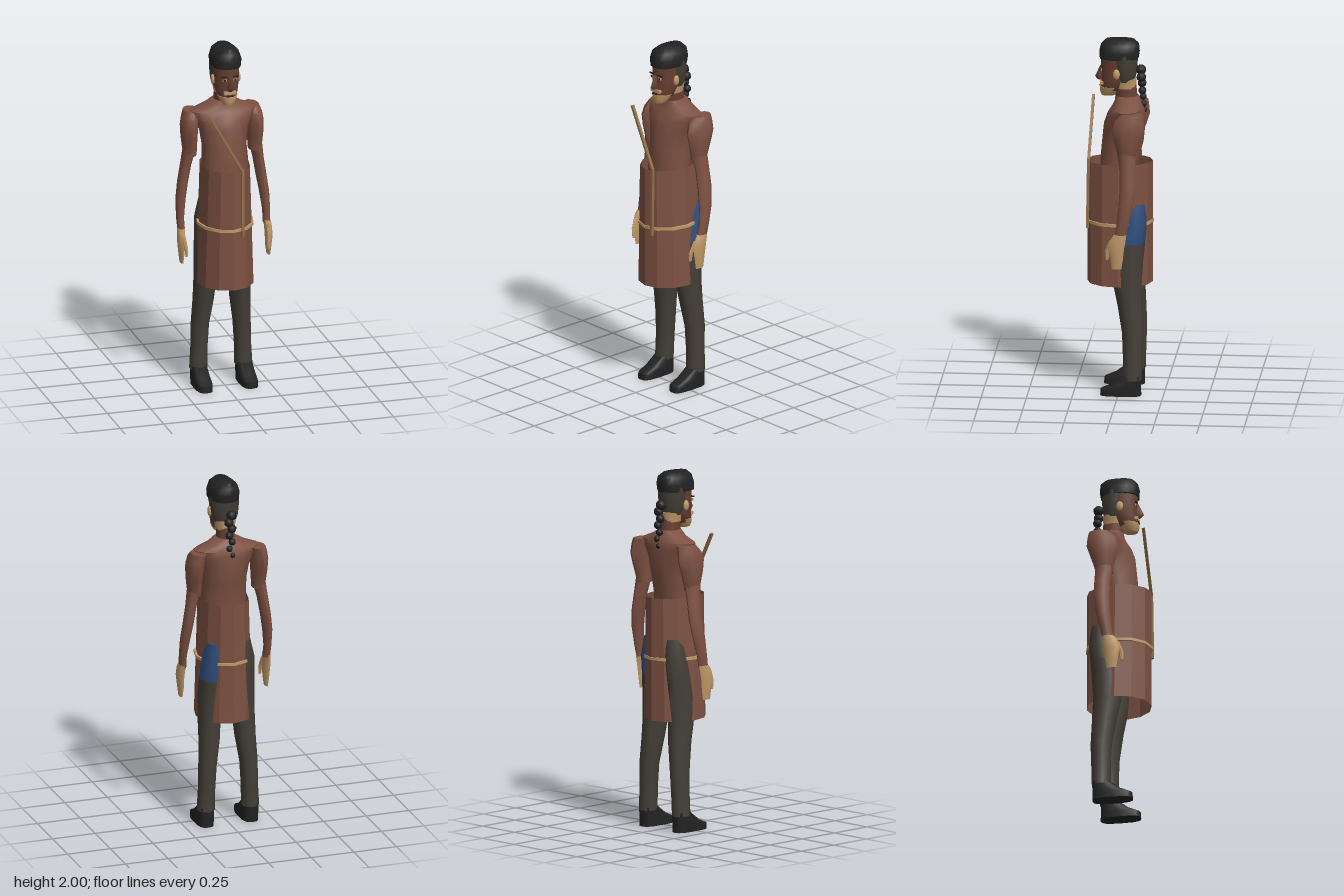
import * as THREE from 'three';
import { toCreasedNormals } from 'three/addons/utils/BufferGeometryUtils.js';

const mat = (name, color, side = THREE.FrontSide) => {
  const m = new THREE.MeshStandardMaterial({ color, side });
  m.name = name;
  return m;
};

// Cross-sections [y, centre x, centre z, radius x, radius z], listed from bottom to top.
function loft(rings, { sides = 14, power = 1, capped = true, crease = 0.8 } = {}) {
  const pos = [], idx = [];
  const bend = v => Math.sign(v) * Math.abs(v) ** power;
  for (const [y, cx, cz, rx, rz] of rings)
    for (let k = 0; k < sides; k++) {
      const a = (k / sides) * Math.PI * 2;
      pos.push(cx + rx * bend(Math.sin(a)), y, cz + rz * bend(Math.cos(a)));
    }
  for (let i = 0; i < rings.length - 1; i++)
    for (let k = 0; k < sides; k++) {
      const a = i * sides + k, b = i * sides + (k + 1) % sides;
      idx.push(a, b, b + sides, a, b + sides, a + sides);
    }
  if (capped) {
    const first = rings[0], last = rings[rings.length - 1];
    const bottom = pos.length / 3, top = bottom + 1, base = (rings.length - 1) * sides;
    pos.push(first[1], first[0], first[2], last[1], last[0], last[2]);
    for (let k = 0; k < sides; k++) {
      const n = (k + 1) % sides;
      idx.push(bottom, n, k, top, base + k, base + n);
    }
  }
  const g = new THREE.BufferGeometry();
  g.setAttribute('position', new THREE.Float32BufferAttribute(pos, 3));
  g.setIndex(idx);
  return toCreasedNormals(g, crease);
}

export function createModel() {
  const model = new THREE.Group();
  model.name = 'robedMan';
  const tunic = mat('tunicBrown', 0x7d5142, THREE.DoubleSide);
  const face = mat('faceBrown', 0x673f32);
  const tan = mat('tan', 0xc19a68);
  const leather = mat('strapLeather', 0x8f7049);
  const cloth = mat('trouserCharcoal', 0x443f37);
  const black = mat('black', 0x222222);
  const blue = mat('hipBlue', 0x2d4c7c);

  const add = (name, geometry, material, x = 0, y = 0, z = 0) => {
    const m = new THREE.Mesh(geometry, material);
    m.name = name;
    m.position.set(x, y, z);
    model.add(m);
    return m;
  };
  const box = (w, h, d) => new THREE.BoxGeometry(w, h, d);

  // Open robe skirt and belt
  add('robeSkirt', loft([[0.62, 0, 0, 0.16, 0.182], [1.31, 0, 0, 0.136, 0.182]],
    { sides: 12, capped: false, crease: 0.1 }), tunic);
  add('belt', loft([[0.962, 0, 0, 0.16, 0.188], [0.978, 0, 0, 0.16, 0.188]], { sides: 12 }), tan);

  // Torso with sloping shoulders and collar
  add('torso', loft([
    [1.15, 0, 0, 0.125, 0.1], [1.31, 0, 0.005, 0.131, 0.105], [1.42, 0, -0.015, 0.125, 0.115],
    [1.52, 0, -0.025, 0.14, 0.115], [1.58, 0, -0.035, 0.172, 0.105], [1.62, 0, -0.045, 0.19, 0.09],
    [1.65, 0, -0.045, 0.11, 0.075], [1.68, 0, -0.04, 0.06, 0.066],
  ]), tunic);

  // Chest strap: slanted upper part and hanging lower part
  const rod = (name, a, b) => {
    const from = new THREE.Vector3(...a), to = new THREE.Vector3(...b);
    const m = add(name, box(0.014, from.distanceTo(to), 0.016), leather);
    m.position.copy(from).add(to).multiplyScalar(0.5);
    m.quaternion.setFromUnitVectors(new THREE.Vector3(0, 1, 0), to.sub(from).normalize());
  };
  rod('upperStrap', [0.053, 1.315, 0.171], [-0.13, 1.645, 0.158]);
  rod('lowerStrap', [0.053, 0.93, 0.177], [0.053, 1.325, 0.171]);

  // Limbs, left (+x) and right
  for (const [s, side] of [[1, 'left'], [-1, 'right']]) {
    const limb = (name, rings, material, options) =>
      add(side + name, loft(rings.map(([y, x, ...r]) => [y, s * x, ...r]), options), material);
    limb('Sleeve', [
      [1.36, 0.186, -0.05, 0.036, 0.047], [1.4, 0.188, -0.052, 0.04, 0.055],
      [1.47, 0.19, -0.055, 0.045, 0.075], [1.53, 0.188, -0.06, 0.048, 0.09],
      [1.58, 0.182, -0.066, 0.046, 0.08], [1.615, 0.172, -0.08, 0.044, 0.062],
    ], tunic, { sides: 10 });
    limb('Arm', [
      [0.93, 0.245, -0.02, 0.02, 0.032], [1.0, 0.248, -0.033, 0.021, 0.033],
      [1.1, 0.241, -0.05, 0.027, 0.04], [1.2, 0.226, -0.06, 0.029, 0.045],
      [1.3, 0.209, -0.058, 0.03, 0.045], [1.4, 0.19, -0.05, 0.036, 0.05],
    ], tunic, { sides: 10 });
    limb('Hand', [
      [0.75, 0.25, 0, 0.008, 0.027], [0.8, 0.25, 0, 0.015, 0.035], [0.87, 0.252, 0.002, 0.02, 0.045],
      [0.92, 0.25, -0.01, 0.021, 0.042], [0.945, 0.247, -0.02, 0.022, 0.035],
    ], tan, { sides: 8 });
    limb('Thumb', [[0.8, 0.235, 0.055, 0.007, 0.009], [0.85, 0.238, 0.052, 0.01, 0.014],
      [0.91, 0.245, 0.022, 0.012, 0.02]], tan, { sides: 6 });
    limb('TrouserLeg', [
      [0.09, 0.13, -0.078, 0.05, 0.053], [0.22, 0.125, -0.08, 0.047, 0.055],
      [0.35, 0.12, -0.08, 0.05, 0.06], [0.5, 0.105, -0.065, 0.058, 0.07],
      [0.62, 0.1, -0.05, 0.062, 0.08], [0.75, 0.095, -0.048, 0.067, 0.088],
      [0.86, 0.088, -0.06, 0.068, 0.085],
    ], cloth, { sides: 10 });
    limb('Hip', [[0.86, 0.088, -0.06, 0.068, 0.085], [0.97, 0.085, -0.08, 0.066, 0.075],
      [1.08, 0.075, -0.085, 0.05, 0.06]], s > 0 ? blue : cloth, { sides: 10 });
    limb('Shoe', [
      [0, 0.13, -0.014, 0.047, 0.114], [0.035, 0.13, -0.015, 0.048, 0.112],
      [0.06, 0.13, -0.045, 0.047, 0.082], [0.11, 0.13, -0.078, 0.043, 0.047],
    ], black, { sides: 16, power: 0.65 });

    // Ear, eye and brow
    add(side + 'Ear', new THREE.SphereGeometry(1, 8, 6), tan, s * 0.074, 1.815, 0.015)
      .scale.set(0.012, 0.03, 0.02);
    add(side + 'Eye', box(0.024, 0.012, 0.006), tan, s * 0.031, 1.832, 0.1);
    add(side + 'Pupil', box(0.011, 0.012, 0.004), black, s * 0.031, 1.832, 0.103);
    add(side + 'Brow', box(0.034, 0.007, 0.008), black, s * 0.033, 1.85, 0.1);
  }

  // Neck and head
  add('neck', loft([[1.62, 0, -0.04, 0.052, 0.062], [1.74, 0, -0.03, 0.05, 0.06]]), face);
  add('nape', loft([[1.725, 0, -0.028, 0.053, 0.06], [1.78, 0, -0.028, 0.064, 0.064]]), tan);
  add('face', loft([
    [1.685, 0, 0.065, 0.028, 0.035], [1.72, 0, 0.045, 0.052, 0.062], [1.77, 0, 0.025, 0.066, 0.08],
    [1.83, 0, 0.02, 0.071, 0.085], [1.92, 0, 0.015, 0.075, 0.092],
  ]), face);
  add('nose', loft([[1.768, 0, 0.102, 0.014, 0.022], [1.785, 0, 0.102, 0.018, 0.037],
    [1.85, 0, 0.1, 0.008, 0.01]], { sides: 6 }), face);
  add('moustache', box(0.07, 0.018, 0.02), tan, 0, 1.756, 0.1);
  add('beard', loft([[1.682, 0, 0.066, 0.03, 0.038], [1.705, 0, 0.058, 0.046, 0.055],
    [1.732, 0, 0.046, 0.057, 0.066]]), tan);
  add('mouth', box(0.035, 0.006, 0.006), black, 0, 1.738, 0.11);

  // Cropped sides, black crown and braid
  add('croppedHair', loft([
    [1.765, 0, -0.027, 0.062, 0.052], [1.8, 0, -0.027, 0.074, 0.062],
    [1.86, 0, -0.022, 0.081, 0.074], [1.92, 0, -0.015, 0.084, 0.086],
  ]), cloth);
  add('hairCrown', loft([
    [1.895, 0, 0.006, 0.083, 0.108], [1.935, 0, 0.003, 0.086, 0.112],
    [1.975, 0, 0, 0.073, 0.105], [2.0, 0, 0, 0.042, 0.08],
  ], { sides: 16, power: 0.85 }), black);
  for (let i = 0; i < 7; i++) {
    const r = 0.029 - i * 0.0022;
    add('braidBead' + (i + 1), new THREE.SphereGeometry(r, 10, 8), black,
      (i % 2 ? 1 : -1) * 0.008, 1.825 - i * 0.038, -0.115 - i * 0.003);
  }
  return model;
}
